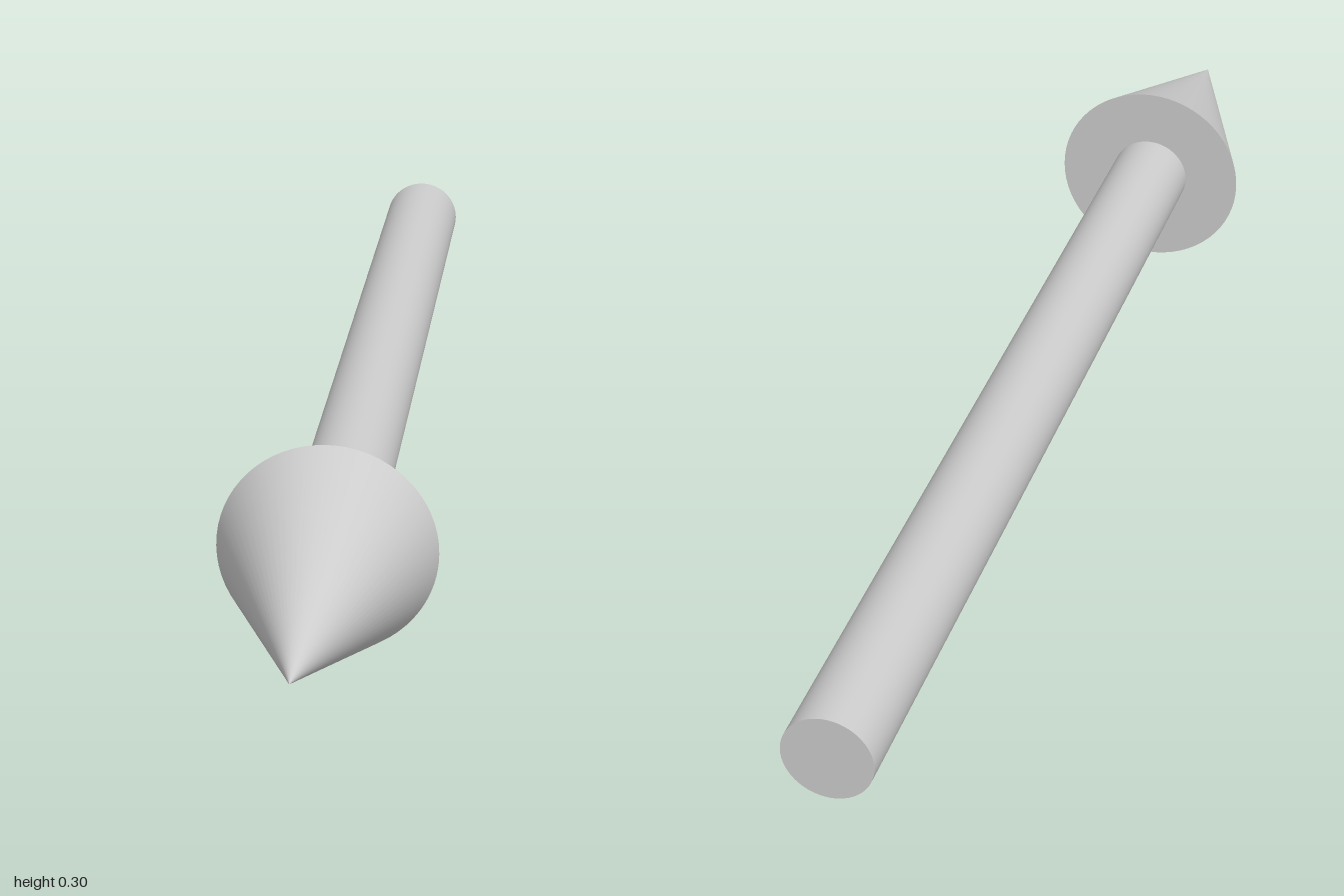
import * as THREE from 'three';

const AXIS_Y = 0.15;   // height of the arrow's centre line
const HEAD_BASE = 0.585; // z where the head meets the shaft
const SEGMENTS = 64;

export function createModel() {
  const group = new THREE.Group();
  group.name = 'arrow';
  const material = new THREE.MeshStandardMaterial({ color: 0xcccccc });

  // Round part lying along z, from zBack to zFront
  const addPart = (name, frontRadius, backRadius, zBack, zFront) => {
    const geometry = new THREE.CylinderGeometry(frontRadius, backRadius, zFront - zBack, SEGMENTS);
    geometry.rotateX(Math.PI / 2);
    const mesh = new THREE.Mesh(geometry, material);
    mesh.name = name;
    mesh.position.set(0, AXIS_Y, (zBack + zFront) / 2);
    group.add(mesh);
  };

  addPart('shaft', 0.0625, 0.0625, -1, HEAD_BASE);
  addPart('head', 0, 0.15, HEAD_BASE, 1);

  return group;
}
